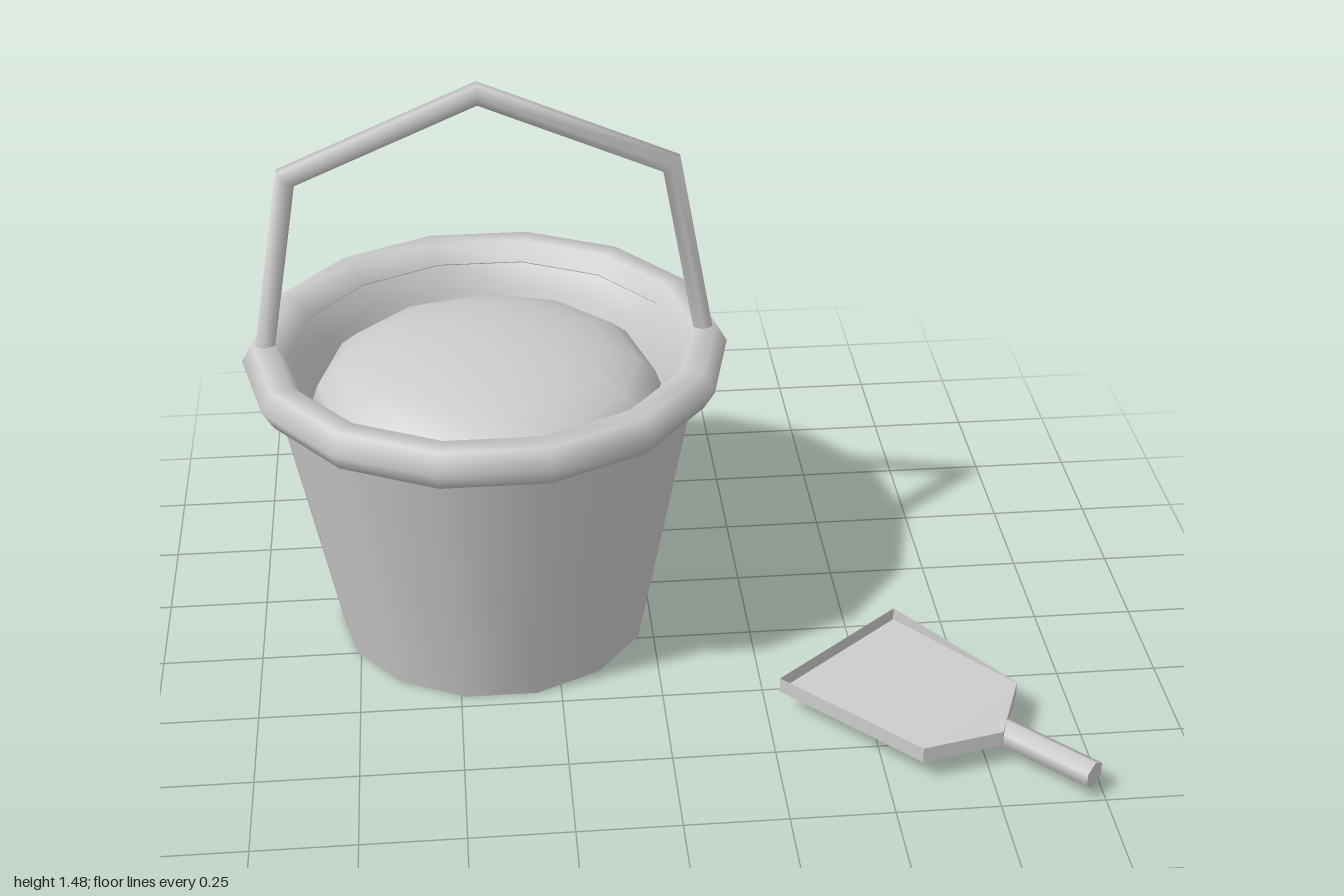
import * as THREE from 'three';

const SIDES = 14;
const grey = new THREE.MeshStandardMaterial({ color: 0xcccccc, side: THREE.DoubleSide });
grey.name = 'light grey';

function add(parent, name, geometry) {
  const mesh = new THREE.Mesh(geometry, grey);
  mesh.name = name;
  parent.add(mesh);
  return mesh;
}

// Revolved profile with corners on the x axis
function lathe(profile) {
  const points = profile.map(([r, y]) => new THREE.Vector2(r, y));
  return new THREE.LatheGeometry(points, SIDES, Math.PI / 2);
}

// Mitred round bar along a path in the xy plane
function bentBar(path, radius, sides) {
  const pts = path.map(([x, y]) => new THREE.Vector2(x, y));
  const positions = [], index = [];
  pts.forEach((p, i) => {
    const before = p.clone().sub(pts[Math.max(i - 1, 0)]).normalize();
    const after = pts[Math.min(i + 1, pts.length - 1)].clone().sub(p).normalize();
    const along = before.clone().add(after).normalize();
    const cosHalf = along.dot(i ? before : after);
    for (let k = 0; k < sides; k++) {
      const a = (k / sides + 0.25) * Math.PI * 2;
      const out = (Math.cos(a) * radius) / cosHalf;
      positions.push(p.x - along.y * out, p.y + along.x * out, Math.sin(a) * radius);
      if (i === 0) continue;
      const n = (k + 1) % sides, lo = (i - 1) * sides, hi = i * sides;
      index.push(lo + k, lo + n, hi + k, lo + n, hi + n, hi + k);
    }
  });
  const g = new THREE.BufferGeometry();
  g.setAttribute('position', new THREE.Float32BufferAttribute(positions, 3));
  // Orient outward
  for (let i = 0; i < index.length; i += 3) {
    [index[i + 1], index[i + 2]] = [index[i + 2], index[i + 1]];
  }
  const at = (i) => new THREE.Vector3().fromArray(positions, i * 3);
  const [a, b, c] = [at(index[0]), at(index[1]), at(index[2])];
  const centre = new THREE.Vector3(pts[0].x, pts[0].y, 0);
  const normal = b.clone().sub(a).cross(c.clone().sub(a));
  if (normal.dot(a.add(at(index[1])).multiplyScalar(0.5).sub(centre)) < 0) index.reverse();
  g.setIndex(index);
  g.computeVertexNormals();
  return g;
}

function createBucket() {
  const bucket = new THREE.Group();
  bucket.name = 'bucket';
  add(bucket, 'bucketWall', lathe([[0.4, 0], [0.545, 0.75]]));
  add(bucket, 'bucketBase', lathe([[0, 0], [0.4, 0]]));
  add(bucket, 'innerWall', lathe([[0.495, 0.77], [0.455, 0.71], [0.43, 0.62]]));

  // Hexagonal rolled rim
  const rim = [];
  for (let i = 0; i <= 6; i++) {
    const a = Math.PI + (i * Math.PI) / 3;
    rim.push([0.545 + 0.055 * Math.cos(a), 0.767 + 0.055 * Math.sin(a)]);
  }
  add(bucket, 'rim', lathe(rim));

  // Heaped sand
  const sand = add(bucket, 'sand', new THREE.SphereGeometry(1, 12, 6, 0, Math.PI * 2, 0, Math.PI / 2));
  sand.scale.set(0.435, 0.155, 0.435);
  sand.position.y = 0.65;

  add(bucket, 'bucketHandle', bentBar(
    [[0.548, 0.76], [0.46, 1.257], [0, 1.455], [-0.46, 1.257], [-0.548, 0.76]], 0.027, 6));
  bucket.position.set(-0.4, 0, -0.18);
  return bucket;
}

// Hexagonal bar lying between two ground points
function lyingBar(from, to, y, radius, squash) {
  const dx = to[0] - from[0], dz = to[1] - from[1];
  const g = new THREE.CylinderGeometry(radius, radius, Math.hypot(dx, dz), 6);
  g.rotateX(Math.PI / 2);
  g.scale(1, squash, 1);
  g.rotateY(Math.atan2(dx, dz));
  g.translate((from[0] + to[0]) / 2, y, (from[1] + to[1]) / 2);
  return g;
}

function createShovel() {
  const shovel = new THREE.Group();
  shovel.name = 'shovel';
  // Blade outline as x, z and floor height
  const outline = [
    [0.61, 0.07, 0.066], [0.28, 0.34, 0.066], [0.58, 0.645, 0.098],
    [0.78, 0.6, 0.085], [0.855, 0.41, 0.098],
  ];
  const floor = [], walls = [];
  outline.forEach(([x, z, y], i) => {
    const [nx, nz] = outline[(i + 1) % outline.length];
    floor.push(x, y, z);
    walls.push(x, 0.06, z, nx, 0.06, nz, nx, 0.1, nz, x, 0.06, z, nx, 0.1, nz, x, 0.1, z);
  });
  const floorGeo = new THREE.BufferGeometry();
  floorGeo.setAttribute('position', new THREE.Float32BufferAttribute(floor, 3));
  floorGeo.setIndex([0, 1, 2, 0, 2, 4, 4, 2, 3]);
  floorGeo.computeVertexNormals();
  add(shovel, 'bladeFloor', floorGeo);

  const wallGeo = new THREE.BufferGeometry();
  wallGeo.setAttribute('position', new THREE.Float32BufferAttribute(walls, 3));
  wallGeo.computeVertexNormals();
  add(shovel, 'bladeWalls', wallGeo);

  // Grip, and its flatter end under the blade
  add(shovel, 'shovelGrip', lyingBar([0.79, 0.548], [0.97, 0.735], 0.065, 0.035, 1));
  add(shovel, 'shovelSpine', lyingBar([0.53, 0.28], [0.79, 0.548], 0.048, 0.035, 0.5));
  return shovel;
}

export function createModel() {
  const model = new THREE.Group();
  model.name = 'bucketAndShovel';
  model.add(createBucket(), createShovel());
  return model;
}
